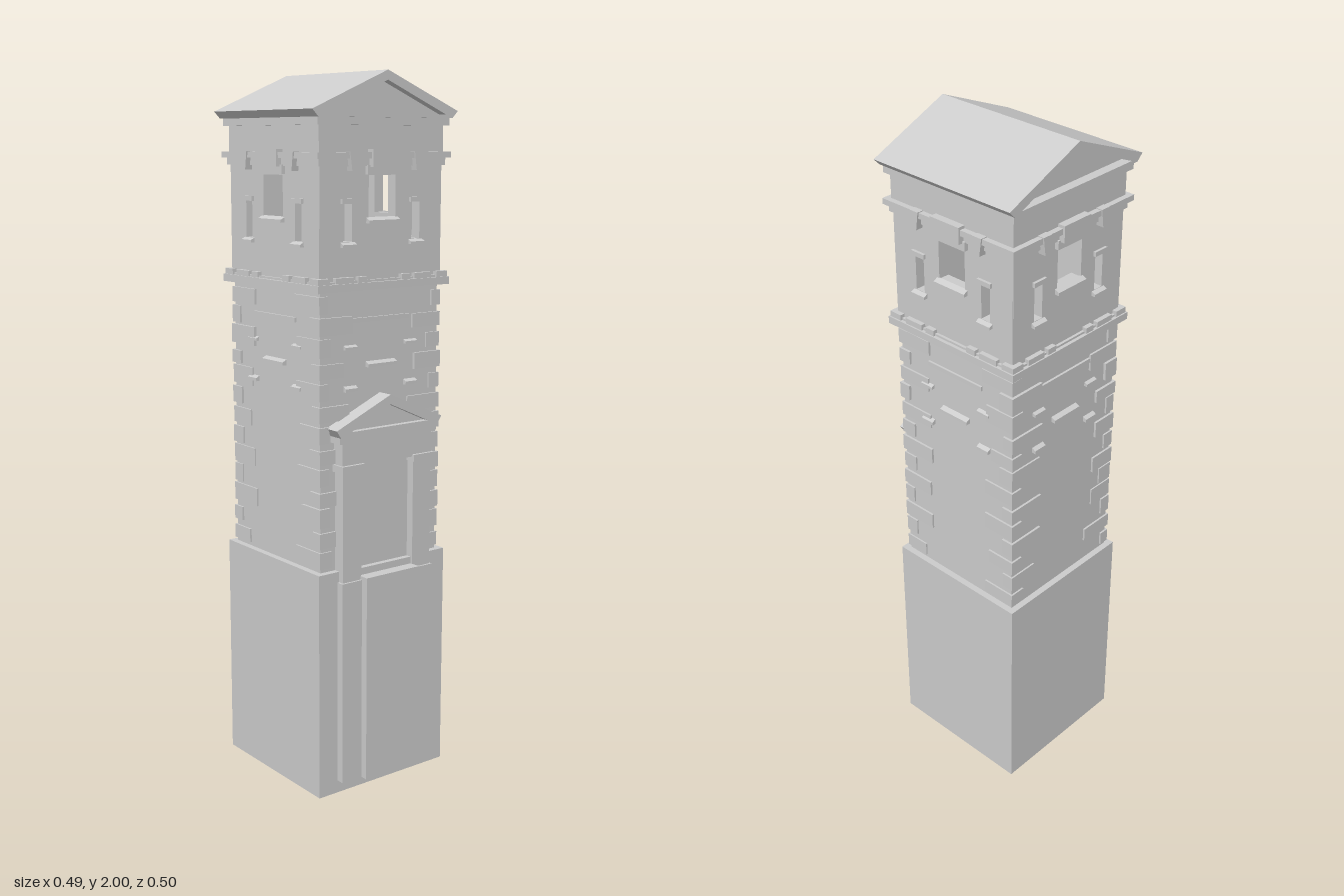
import * as THREE from 'three';

const material = new THREE.MeshStandardMaterial({ color: 0xcccccc, flatShading: true, side: THREE.DoubleSide });

export function createModel() {
  const model = new THREE.Group();
  const tower = new THREE.Group();
  tower.name = 'tower';
  tower.position.z = -0.02;
  model.add(tower);

  const add = (parent, name, geometry) => {
    const mesh = new THREE.Mesh(geometry, material);
    mesh.name = name;
    parent.add(mesh);
    return mesh;
  };
  // box given by its limits
  const box = (parent, name, x0, x1, y0, y1, z0, z1) => {
    const mesh = add(parent, name, new THREE.BoxGeometry(x1 - x0, y1 - y0, z1 - z0));
    mesh.position.set((x0 + x1) / 2, (y0 + y1) / 2, (z0 + z1) / 2);
    return mesh;
  };
  const slab = (name, half, y0, y1) => box(tower, name, -half, half, y0, y1, -half, half);
  const polygon = (points) => new THREE.Shape(points.map(([x, y]) => new THREE.Vector2(x, y)));
  const extrude = (parent, name, shape, z0, z1) => {
    const mesh = add(parent, name, new THREE.ExtrudeGeometry(shape, { depth: z1 - z0, bevelEnabled: false }));
    mesh.position.z = z0;
    return mesh;
  };
  // open square tube, tapering from half width a to b
  const tube = (name, a, b, y0, y1) => {
    const g = new THREE.CylinderGeometry(b * Math.SQRT2, a * Math.SQRT2, y1 - y0, 4, 1, true);
    g.rotateY(Math.PI / 4);
    add(tower, name, g).position.y = (y0 + y1) / 2;
  };
  // ledge with a sloping top, its back against the wall
  const ledge = (parent, name, x, y, width, height, z0, depth) => {
    const g = new THREE.BoxGeometry(width, height, depth);
    const p = g.attributes.position;
    for (let i = 0; i < p.count; i++) {
      if (p.getZ(i) > 0 && p.getY(i) > 0) p.setY(i, 0);
    }
    g.computeVertexNormals();
    add(parent, name, g).position.set(x, y, z0 + depth / 2);
  };

  // hollow base and shaft
  tube('baseWalls', 0.225, 0.225, 0, 0.655);
  const rim = polygon([[-0.225, -0.225], [0.225, -0.225], [0.225, 0.225], [-0.225, 0.225]]);
  rim.holes.push(polygon([[-0.2, -0.2], [-0.2, 0.2], [0.2, 0.2], [0.2, -0.2]]));
  const rimGeometry = new THREE.ShapeGeometry(rim);
  rimGeometry.rotateX(-Math.PI / 2);
  add(tower, 'baseRim', rimGeometry).position.y = 0.655;
  tube('shaftWalls', 0.206, 0.204, 0.655, 1.43);

  // belt course, cornice and attic
  slab('beltCourse', 0.228, 1.425, 1.446);
  slab('corniceBed', 0.217, 1.752, 1.772);
  slab('cornice', 0.228, 1.772, 1.788);
  slab('attic', 0.212, 1.788, 1.858);
  slab('atticMoulding', 0.224, 1.858, 1.882);

  // seeded variation for the stonework
  let seed = 7;
  const random = () => (seed = (seed * 16807) % 2147483647) / 2147483647;

  for (let k = 0; k < 4; k++) {
    const side = new THREE.Group();
    side.name = 'facade' + (k + 1);
    side.rotation.y = k * Math.PI / 2;
    tower.add(side);

    // belfry wall pierced by a window and two slits
    const wall = polygon([[-0.209, 1.44], [0.209, 1.44], [0.209, 1.76], [-0.209, 1.76]]);
    const hole = (x0, x1, y0, y1) => wall.holes.push(polygon([[x0, y0], [x0, y1], [x1, y1], [x1, y0]]));
    hole(-0.046, 0.046, 1.615, 1.728);
    for (const s of [-1, 1]) hole(s * 0.117 - 0.015, s * 0.117 + 0.015, 1.555, 1.655);
    extrude(side, 'belfryWall', wall, 0.178, 0.21);

    // window dressings
    ledge(side, 'windowSill', 0, 1.61, 0.108, 0.016, 0.208, 0.015);
    box(side, 'windowLintel', -0.058, 0.058, 1.73, 1.755, 0.205, 0.222);
    box(side, 'windowKeystone', -0.05, 0.05, 1.75, 1.796, 0.205, 0.234);
    for (const s of [-1, 1]) {
      ledge(side, 'slitSill', s * 0.117, 1.548, 0.048, 0.014, 0.208, 0.014);
      box(side, 'slitLintel', s * 0.117 - 0.023, s * 0.117 + 0.023, 1.655, 1.668, 0.205, 0.218);
      // corbel below the cornice
      extrude(side, 'corbel', polygon([[-0.008, 1.74], [0.008, 1.74], [0.015, 1.79], [-0.015, 1.79]]), 0.205, 0.232)
        .position.x = s * 0.11;
      // ledges on the shaft
      ledge(side, 'shaftLedge', s * 0.105, 1.273, 0.042, 0.014, 0.2, 0.014);
      ledge(side, 'shaftLedge', s * 0.105, 1.16, 0.042, 0.018, 0.2, 0.016);
    }
    box(side, 'stringLedge', -0.098, 0.098, 1.337, 1.35, 0.2, 0.211);
    ledge(side, 'shaftSill', 0, 1.222, 0.1, 0.018, 0.2, 0.018);

    // raised stones on the belt
    for (const [a, b] of [[-0.224, -0.185], [-0.165, -0.105], [-0.09, -0.06], [0.06, 0.09], [0.105, 0.165], [0.185, 0.224]]) {
      box(side, 'beltStone', a, b, 1.444, 1.462, 0.2, 0.224);
    }
    box(side, 'beltStrip', -0.218, 0.218, 1.444, 1.452, 0.2, 0.218);

    // corner stones with alternating long and short arms
    for (let i = 0; i < 13; i++) {
      const y = 0.665 + i * 0.0585;
      const long = 0.075 + random() * 0.045;
      const short = 0.03 + random() * 0.02;
      const [lx, lz] = (i + k) % 2 ? [long, short] : [short, long];
      const out = 0.2095 + random() * 0.003;
      box(side, 'cornerStone', out - lx, out, y, y + 0.036 + random() * 0.018, out - lz, out);
    }
  }

  // gabled roof: raking frame at both ends and a recessed core
  const gable = polygon([[-0.247, 1.897], [-0.228, 1.878], [0.228, 1.878], [0.247, 1.897], [0, 2]]);
  gable.holes.push(polygon([[-0.205, 1.887], [0, 1.974], [0.205, 1.887]]));
  extrude(tower, 'roof', gable, -0.232, 0.232);
  extrude(tower, 'tympanum', polygon([[-0.21, 1.885], [0.21, 1.885], [0, 1.976]]), -0.205, 0.205);

  // lower doorway on the base
  const door = new THREE.Group();
  door.name = 'doorway';
  model.add(door);
  box(door, 'lowerDoorPanel', -0.094, 0.094, 0.037, 0.635, 0.2, 0.25);
  for (const s of [-1, 1]) {
    const span = (a, b) => (s > 0 ? [a, b] : [-b, -a]);
    box(door, 'lowerPilaster', ...span(0.09, 0.162), 0.037, 0.625, 0.2, 0.228);
    box(door, 'upperPilaster', ...span(0.092, 0.156), 0.625, 0.94, 0.18, 0.222);
    box(door, 'pilasterCapital', ...span(0.088, 0.163), 0.936, 0.956, 0.18, 0.231);
  }
  box(door, 'upperDoorPanel', -0.093, 0.093, 0.635, 0.95, 0.18, 0.198);
  box(door, 'doorStep', -0.094, 0.094, 0.635, 0.655, 0.18, 0.215);
  box(door, 'entablature', -0.158, 0.158, 0.95, 1.022, 0.18, 0.222);
  box(door, 'pedimentCornice', -0.17, 0.17, 1.018, 1.042, 0.18, 0.228);

  // pediment over the door
  const pediment = polygon([[-0.185, 1.058], [-0.17, 1.036], [0.17, 1.036], [0.185, 1.058], [0, 1.138]]);
  pediment.holes.push(polygon([[-0.135, 1.05], [0, 1.111], [0.135, 1.05]]));
  extrude(door, 'pedimentFrame', pediment, 0.18, 0.233);
  extrude(door, 'pedimentPanel', polygon([[-0.14, 1.048], [0.14, 1.048], [0, 1.113]]), 0.18, 0.215);

  return model;
}
